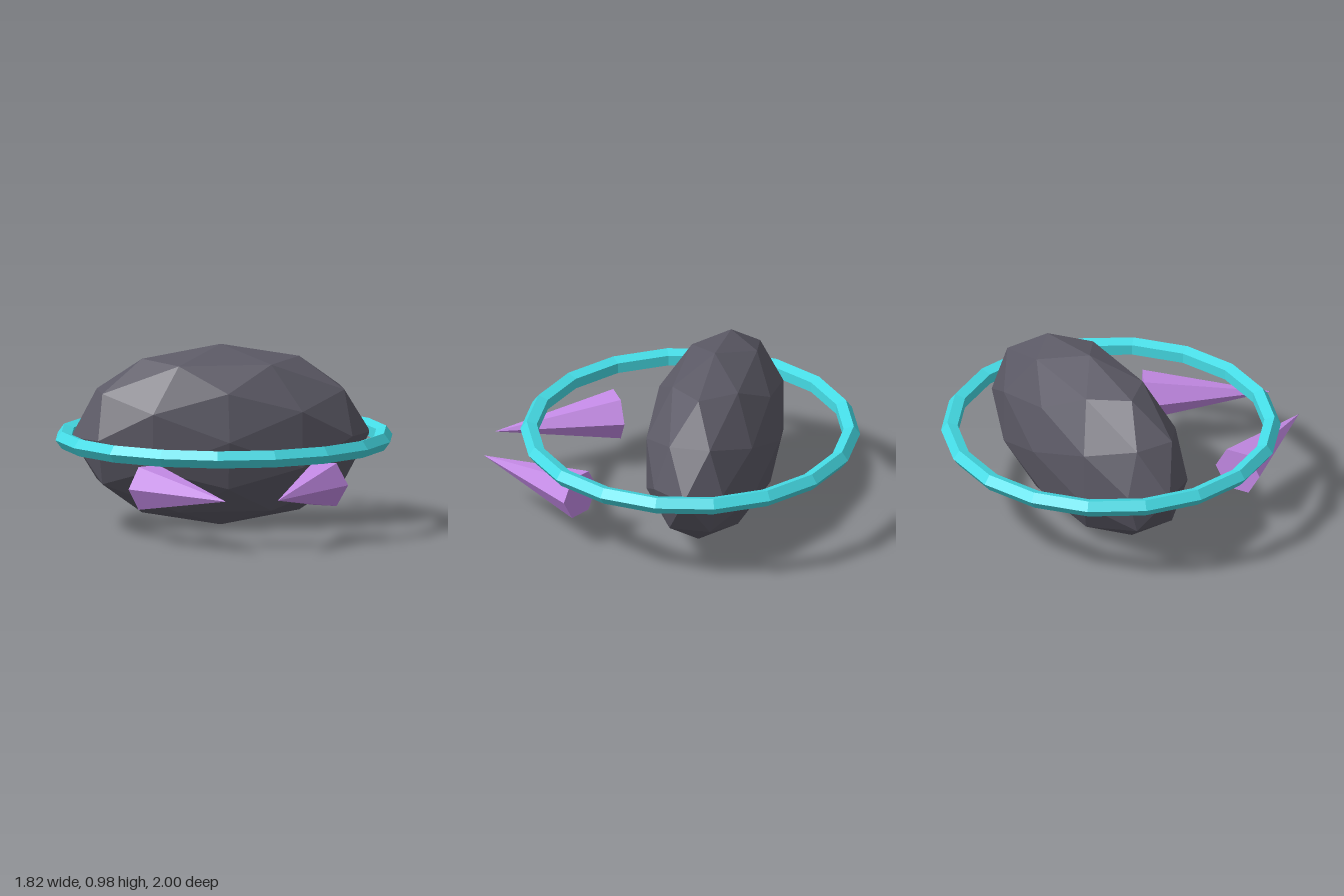
import * as THREE from 'three';

function part(name, geometry, color) {
  const mesh = new THREE.Mesh(geometry, new THREE.MeshStandardMaterial({ color, flatShading: true }));
  mesh.name = name;
  return mesh;
}

export function createModel() {
  const group = new THREE.Group();
  group.name = 'ringedRock';

  // Faceted ellipsoid body
  const body = part('body', new THREE.IcosahedronGeometry(1, 1).scale(0.81, 0.489, 0.358), 0x5c5a66);
  body.position.set(0, 0.493, -0.237);
  group.add(body);

  // Flat-lying ring with a five-sided section
  const ring = part('ring', new THREE.TorusGeometry(0.863, 0.049, 5, 18).rotateX(Math.PI / 2), 0x45dce6);
  ring.position.set(0, 0.495, -0.102);
  group.add(ring);

  // Two six-sided spikes pointing forward and inward
  const spikeGeometry = new THREE.ConeGeometry(0.134, 0.688, 6)
    .rotateY(Math.PI / 6)
    .rotateX(Math.PI / 2);
  for (const side of [1, -1]) {
    const spike = part(side > 0 ? 'leftSpike' : 'rightSpike', spikeGeometry, 0xc48ae6);
    spike.position.set(side * 0.309, 0.302, 0.7);
    spike.rotation.y = -side * 0.512;
    group.add(spike);
  }
  return group;
}
